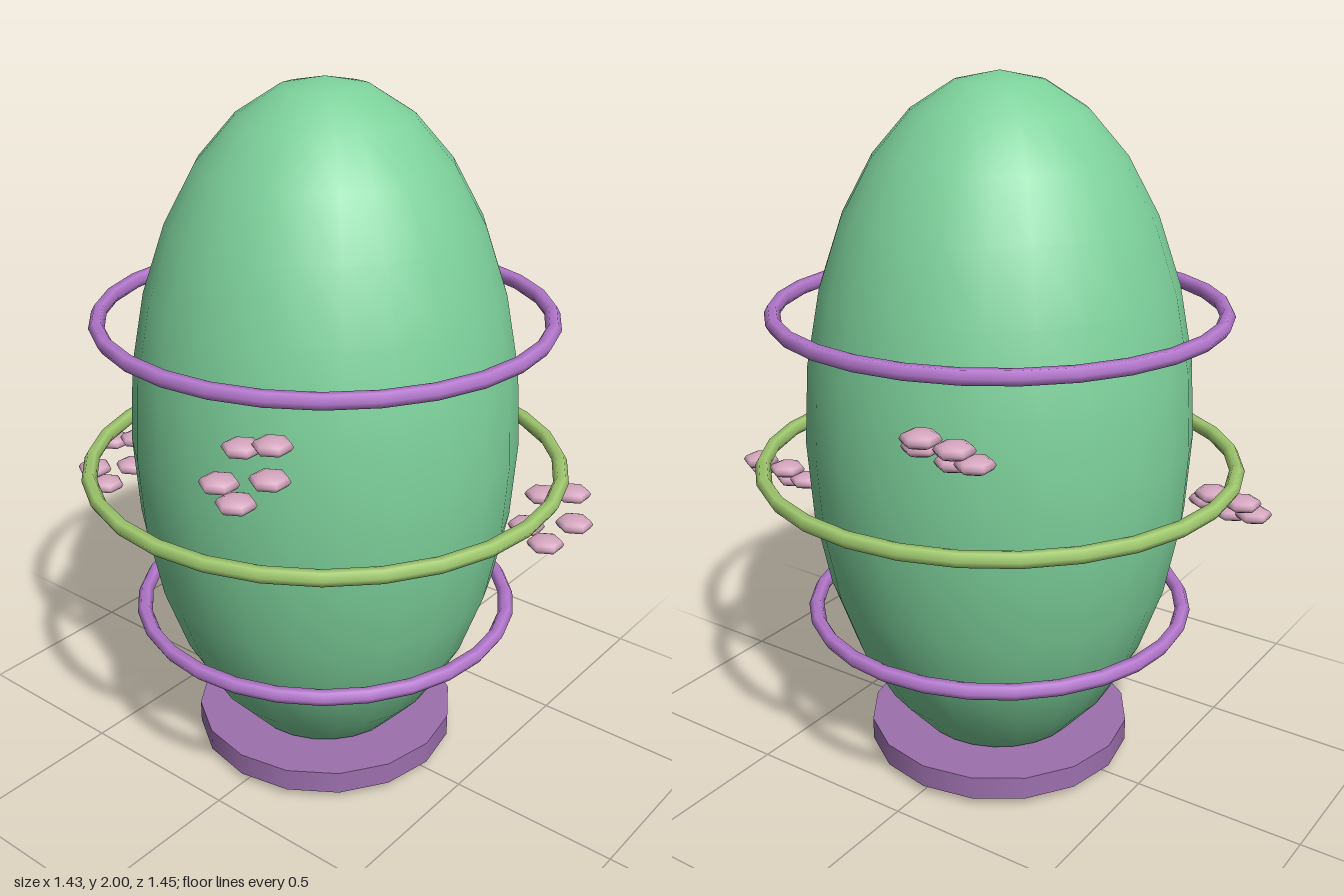
import * as THREE from 'three';

const flat = (name, color) => {
  const m = new THREE.MeshStandardMaterial({ color });
  m.name = name;
  return m;
};

export function createModel() {
  const bodyGreen = flat('body green', 0x7dd19b);
  const ringPurple = flat('ring purple', 0xb679cf);
  const ringGreen = flat('ring green', 0xa2cb70);
  const basePurple = flat('base purple', 0x9d70ae);
  const petalPink = flat('petal pink', 0xd5a6bf);

  const model = new THREE.Group();
  const core = new THREE.Group();
  core.name = 'ornament';
  core.position.x = -0.008;
  model.add(core);

  const add = (name, geometry, material, parent = core) => {
    const mesh = new THREE.Mesh(geometry, material);
    mesh.name = name;
    parent.add(mesh);
    return mesh;
  };

  // Tall egg body
  const egg = new THREE.SphereGeometry(1, 24, 14).scale(0.549, 1, 0.549);
  add('eggBody', egg, bodyGreen).position.y = 1;

  // Disc stand
  add('base', new THREE.CylinderGeometry(0.39, 0.39, 0.068, 16), basePurple).position.y = 0.058;

  // Floating rings, each with a six-sided tube
  const rings = [
    ['lowerRing', 0.543, 0.468, ringPurple],
    ['middleRing', 0.675, 0.914, ringGreen],
    ['upperRing', 0.624, 1.361, ringPurple],
  ];
  for (const [name, radius, y, material] of rings) {
    const torus = new THREE.TorusGeometry(radius, 0.022, 6, 28).rotateX(Math.PI / 2);
    add(name, torus, material).position.y = y;
  }

  // Four blossoms of five flattened petals, alternating in height
  const petal = new THREE.SphereGeometry(1, 6, 6).rotateY(Math.PI / 2).scale(0.052, 0.022, 0.052);
  for (let i = 0; i < 4; i++) {
    const a = 1.17 + (i * Math.PI) / 2;
    const blossom = new THREE.Group();
    blossom.name = 'blossom' + (i + 1);
    blossom.position.set(0.66 * Math.cos(a), i % 2 ? 0.824 : 1.182, 0.66 * Math.sin(a));
    core.add(blossom);
    for (let k = 0; k < 5; k++) {
      const t = (k * Math.PI * 2) / 5;
      add('petal', petal, petalPink, blossom)
        .position.set(0.07 * Math.cos(t), -0.054 * Math.sin(t), 0.07 * Math.sin(t));
    }
  }
  return model;
}
